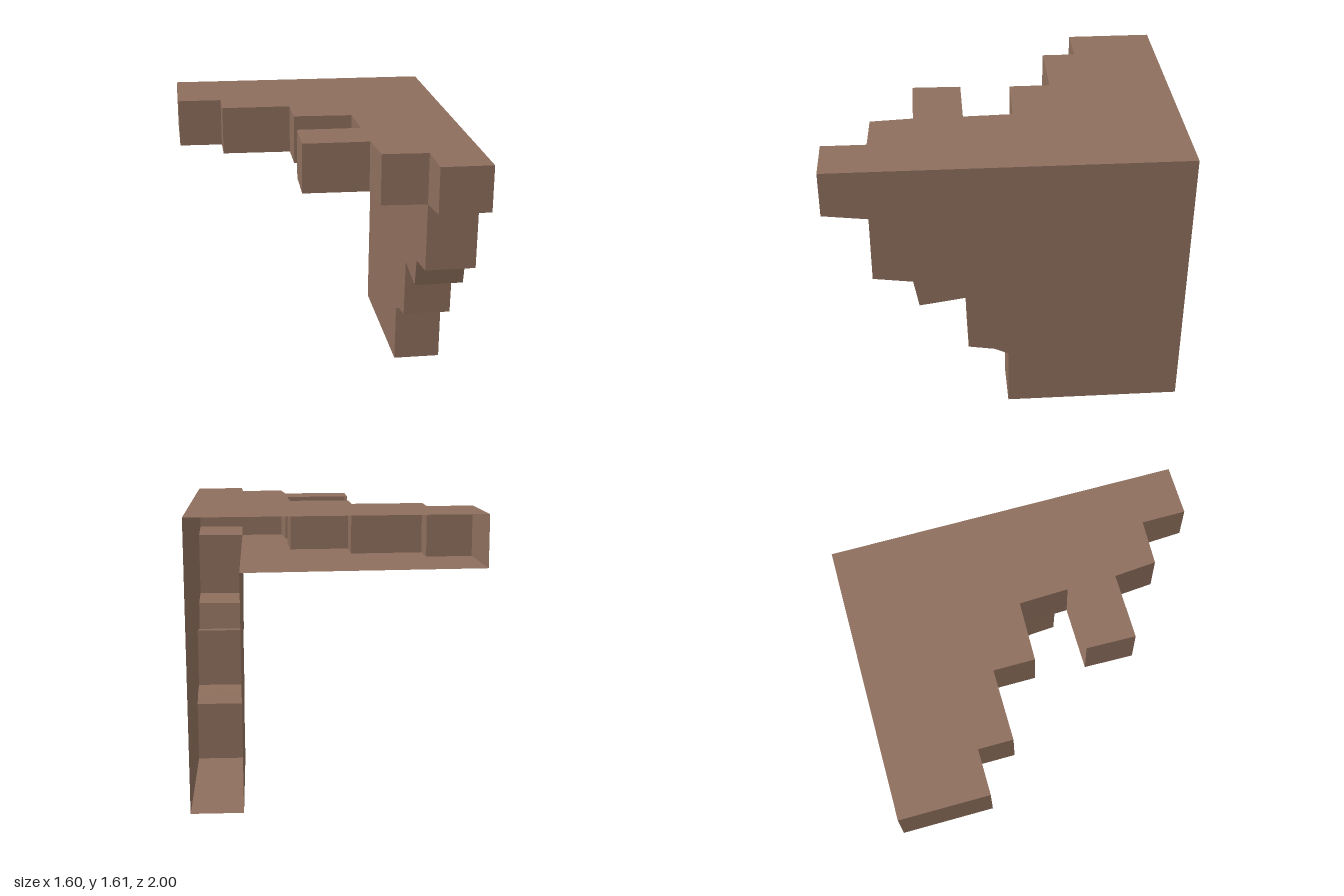
import * as THREE from 'three';

// Slab outline as [x, z], from the back left round to the front right corner
const slabOutline = [
  [-0.8, -1], [-0.8, -0.5], [-0.54, -0.5], [-0.54, -0.305], [-0.13, -0.305],
  [-0.13, -0.07], [0.215, -0.06], [0.225, 0.22], [-0.145, 0.22], [-0.15, 0.5],
  [0.23, 0.5], [0.25, 0.74], [0.51, 0.75], [0.51, 1], [0.8, 1],
];
// Stepped lower edge of the wall as [z, y]
const wallEdge = [
  [1, 1.34], [0.75, 1.31], [0.75, 0.92], [0.53, 0.89], [0.5, 0.725], [0.24, 0.765],
  [0.23, 0.415], [0.08, 0.39], [0, 0.35], [0, 0], [-1, 0],
];

// Slightly uneven planes of the shell
const topY = (x) => 1.605 - 0.006 * x;
const bottomY = (x, z) => (z > 0.9 ? 1.34 : 1.316 - 0.011 * x);
const outerX = (y) => 0.79 + 0.006 * y;
const innerX = (y) => 0.502 + 0.006 * y;

function geometryFrom(points, index) {
  const indexed = new THREE.BufferGeometry().setFromPoints(points);
  indexed.setIndex(index);
  const flat = indexed.toNonIndexed();
  flat.computeVertexNormals();
  return flat;
}

// Flat polygon, triangulated in 2D and placed in space by a rule
function sheet(outline, place, flip = false) {
  const flat = outline.map(([a, b]) => new THREE.Vector2(a, b));
  if (THREE.ShapeUtils.isClockWise(flat) !== flip) flat.reverse();
  const index = THREE.ShapeUtils.triangulateShape(flat, []).flat();
  return geometryFrom(flat.map((p) => place(p.x, p.y)), index);
}

// Row of quads between two edges, leaving out the open ones
function ribbon(edgeA, edgeB, open = []) {
  const n = edgeA.length;
  const index = [];
  for (let i = 0; i < n - 1; i++) {
    if (!open.includes(i)) index.push(i, n + i, i + 1, i + 1, n + i, n + i + 1);
  }
  return geometryFrom([...edgeA, ...edgeB], index);
}

export function createModel() {
  const model = new THREE.Group();
  model.name = 'steppedCornerShell';
  const brown = new THREE.MeshStandardMaterial({ color: 0x8d6e5c, side: THREE.DoubleSide });
  brown.name = 'earthBrown';
  const add = (parent, name, geometry) => {
    const mesh = new THREE.Mesh(geometry, brown);
    mesh.name = name;
    parent.add(mesh);
  };
  const V = (x, y, z) => new THREE.Vector3(x, y, z);

  // Hollow slab, open at the back
  const slab = new THREE.Group();
  slab.name = 'slab';
  add(slab, 'slabTop', sheet([...slabOutline, [0.8, -1]], (x, z) => V(x, topY(x), z), true));
  add(slab, 'slabUnderside', sheet([...slabOutline.slice(0, 13), [0.51, -1]],
    (x, z) => V(x, bottomY(x, z), z)));
  // The rear of the projecting block (edge 7) is open too
  add(slab, 'slabSteps', ribbon(
    slabOutline.map(([x, z]) => V(x, topY(x), z)),
    slabOutline.map(([x, z]) => V(x, bottomY(x, z), z)), [7]));

  // Hollow wall, joined to the slab inside and open at the back
  const wall = new THREE.Group();
  wall.name = 'wall';
  add(wall, 'wallOuterFace', sheet([...wallEdge, [-1, 1.6], [1, 1.6]],
    (z, y) => V(outerX(y), y, z), true));
  add(wall, 'wallInnerFace', sheet([...wallEdge.slice(1), [-1, 1.31]],
    (z, y) => V(innerX(y), y, z)));
  add(wall, 'wallSteps', ribbon(
    wallEdge.map(([z, y]) => V(innerX(y), y, z)),
    wallEdge.map(([z, y]) => V(outerX(y), y, z))));

  model.add(slab, wall);
  return model;
}
